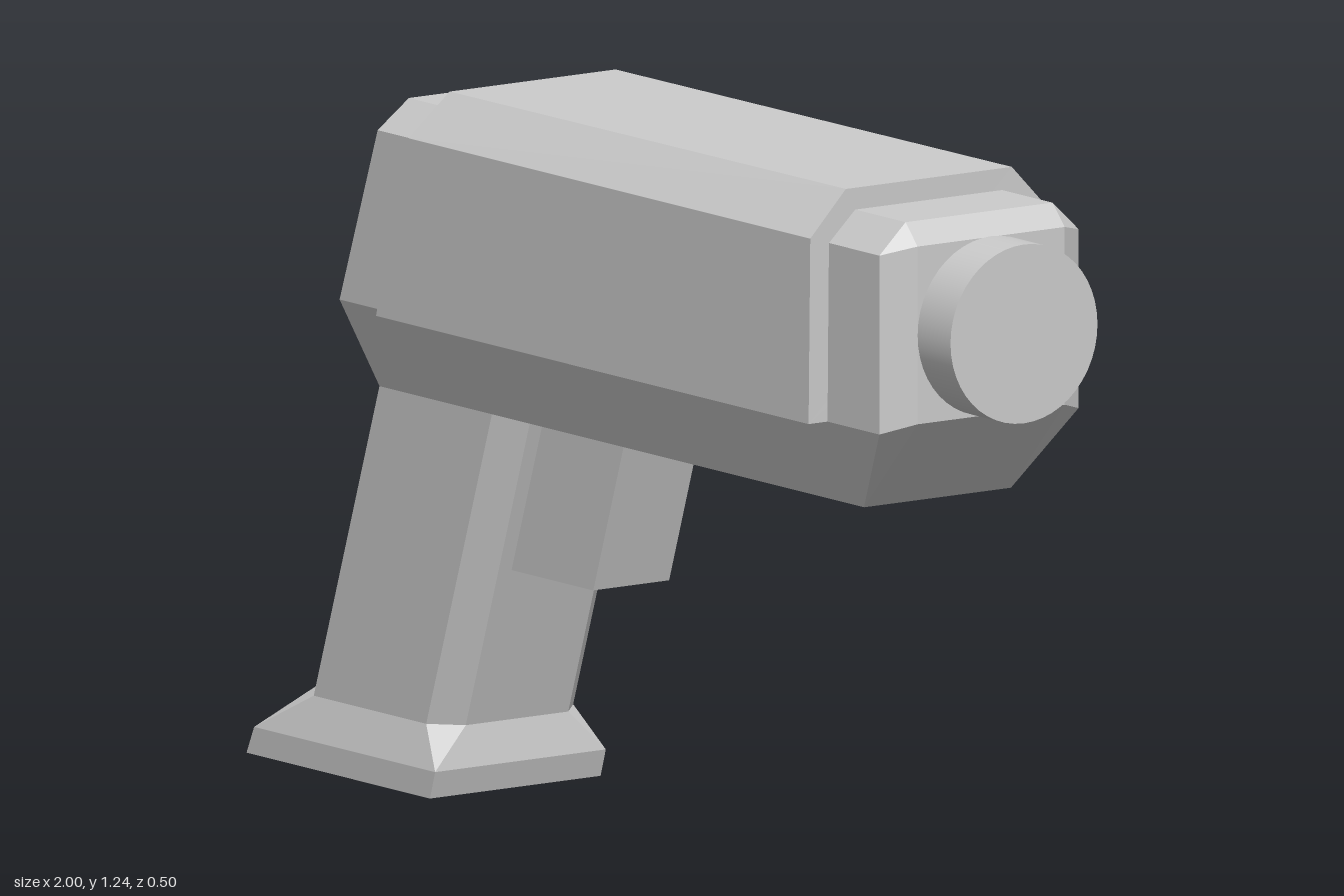
import * as THREE from 'three';

const material = new THREE.MeshStandardMaterial({ color: 0xcccccc, flatShading: true });

// Skin through half-rings of [x, y, z] points, each mirrored across z = 0, capped at both ends.
function loft(name, halves) {
  const rings = halves.map(h => [...h, ...h.map(([x, y, z]) => [x, y, -z]).reverse()]);
  const n = rings[0].length, pos = [];
  const tri = (a, b, c) => pos.push(...a, ...b, ...c);
  for (let k = 0; k < rings.length - 1; k++) {
    const a = rings[k], b = rings[k + 1];
    for (let i = 0; i < n; i++) {
      const j = (i + 1) % n;
      tri(a[i], b[i], b[j]);
      tri(a[i], b[j], a[j]);
    }
  }
  const first = rings[0], last = rings[rings.length - 1];
  for (let i = 1; i < n - 1; i++) {
    tri(first[0], first[i], first[i + 1]);
    tri(last[0], last[i + 1], last[i]);
  }
  const geo = new THREE.BufferGeometry();
  geo.setAttribute('position', new THREE.Float32BufferAttribute(pos, 3));
  geo.computeVertexNormals();
  const mesh = new THREE.Mesh(geo, material);
  mesh.name = name;
  return mesh;
}

export function createModel() {
  const group = new THREE.Group();
  group.name = 'pistol';

  // Slanted rear face, with a scaled copy pushed in for the recessed panel
  const rear = [[0.745, 0.1], [0.745, 0.1], [0.82, 0.155], [1.12, 0.155], [1.165, 0.11]];
  const rearRing = (scale, depth) => rear.map(([y, z]) => {
    const yy = 0.955 + (y - 0.955) * scale;
    return [-0.755 + (yy - 0.745) / 3 + depth * 0.95, yy - depth * 0.32, z * scale];
  });

  // Main body, lofted from the rear panel to the nose
  group.add(loft('body', [
    rearRing(0.76, 0.02),
    rearRing(0.84, 0.02),
    rearRing(0.86, 0),
    rearRing(1, 0),
    [[-0.735, 0.685, 0.1], [-0.65, 0.685, 0.155], [-0.69, 0.835, 0.21], [-0.58, 1.145, 0.21], [-0.565, 1.197, 0.155]],
    [[0.75, 0.685, 0.1], [0.75, 0.685, 0.155], [0.87, 0.835, 0.21], [0.87, 1.145, 0.21], [0.87, 1.197, 0.155]],
    [[0.905, 0.852, 0.1], [0.905, 0.852, 0.155], [0.905, 0.852, 0.155], [0.905, 1.16, 0.155], [0.905, 1.16, 0.155]],
  ]));

  // Wider cover over the upper body, slanted at the rear
  group.add(loft('slideCover', [
    [[-0.53, 0.835, 0.25], [-0.435, 1.157, 0.25], [-0.42, 1.232, 0.175]],
    [[0.72, 0.835, 0.25], [0.725, 1.157, 0.25], [0.725, 1.235, 0.175]],
  ]));

  // Round muzzle
  const muzzle = new THREE.Mesh(
    new THREE.CylinderGeometry(0.155, 0.155, 0.12, 48).rotateZ(-Math.PI / 2),
    new THREE.MeshStandardMaterial({ color: 0xcccccc }));
  muzzle.position.set(0.94, 1.006, 0);
  muzzle.name = 'muzzle';
  group.add(muzzle);

  // Raked grip with chamfered corners, flaring into a rectangular foot
  const gripRing = y => {
    const s = (y - 0.12) * 0.336;
    return [[-0.465 + s, y, 0.108], [-0.515 + s, y, 0.155], [-0.84 + s, y, 0.155], [-0.925 + s, y, 0.08]];
  };
  const footRing = (front, back, y) =>
    [[front, y, 0.18], [front, y, 0.18], [back, y, 0.18], [back, y, 0.18]];
  group.add(loft('grip', [
    footRing(-0.47, -1, 0),
    footRing(-0.455, -0.978, 0.048),
    gripRing(0.12),
    gripRing(0.69),
  ]));

  // Trigger block, leaning with the grip
  group.add(loft('trigger', [
    [[-0.135, 0.4, 0.08], [-0.385, 0.4, 0.08]],
    [[-0.038, 0.69, 0.08], [-0.29, 0.69, 0.08]],
  ]));

  return group;
}
